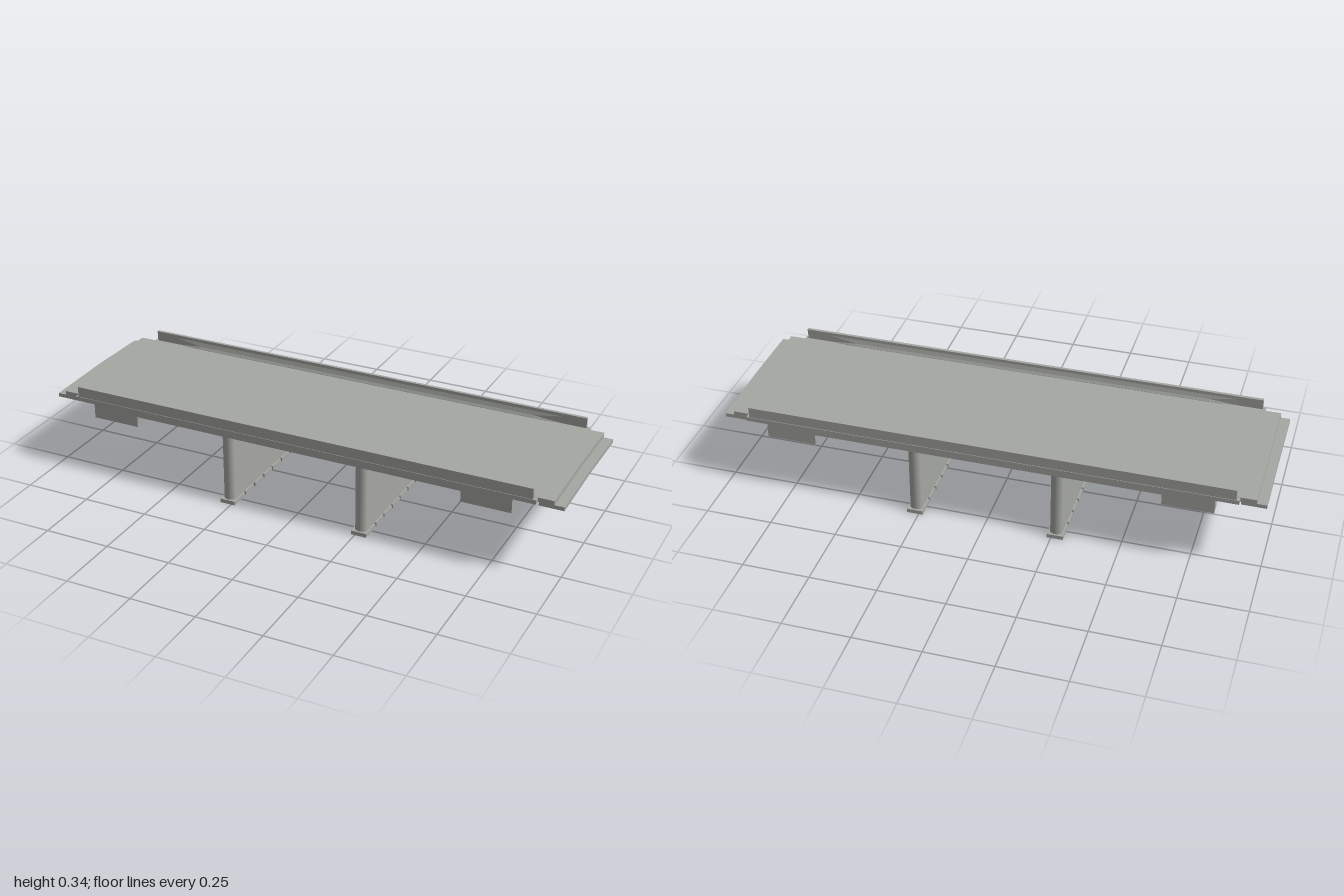
import * as THREE from 'three';

export function createModel() {
  const model = new THREE.Group();
  model.name = 'roadBridge';
  const concrete = new THREE.MeshStandardMaterial({ color: 0xa5a7a2 });
  concrete.name = 'concreteGrey';

  const add = (name, geometry) => {
    const mesh = new THREE.Mesh(geometry, concrete);
    mesh.name = name;
    model.add(mesh);
    return mesh;
  };

  // Box given by its limits
  const block = (name, x0, x1, y0, y1, z0, z1) =>
    add(name, new THREE.BoxGeometry(Math.abs(x1 - x0), y1 - y0, Math.abs(z1 - z0))
      .translate((x0 + x1) / 2, (y0 + y1) / 2, (z0 + z1) / 2));

  // Cross-section of [z, y] points extruded along x
  const prism = (points, x0, x1) => {
    const shape = new THREE.Shape(points.map(([z, y]) => new THREE.Vector2(-z, y)));
    return new THREE.ExtrudeGeometry(shape, { depth: x1 - x0, bevelEnabled: false })
      .rotateY(Math.PI / 2).translate(x0, 0, 0);
  };

  // Slab section whose top and bottom follow the road camber
  const cambered = (w, top, bottom) => [
    [-w, bottom - 0.006], [0, bottom], [w, bottom - 0.006],
    [w, top - 0.005], [0, top], [-w, top - 0.005],
  ];

  // Road deck and the deeper slab between the abutments
  add('roadDeck', prism(cambered(0.275, 0.306, 0.29), -0.965, 0.965));
  add('mainSlab', prism(
    [[-0.293, 0.271], [0.293, 0.271], [0.293, 0.284], [0, 0.29], [-0.293, 0.284]], -0.72, 0.72));

  // Edge beams, parapets and curbs on both sides
  for (const s of [1, -1]) {
    const side = (pts) => pts.map(([z, y]) => [s * z, y]);
    add('edgeBeam', prism(side([[0.272, 0.284], [0.295, 0.284], [0.295, 0.3], [0.272, 0.3]]), -0.907, 0.907));
    add('fascia', prism(side([[0.272, 0.271], [0.295, 0.271], [0.295, 0.284], [0.272, 0.284]]), -0.72, 0.72));
    add('parapet', prism(side([
      [0.283, 0.3], [0.283, 0.332], [0.281, 0.333], [0.281, 0.34], [0.293, 0.34], [0.293, 0.3],
    ]), -0.896, 0.896));

    // Sloped curb, tapering out at its ends
    const curb = prism(side([[0.283, 0.3], [0.283, 0.327], [0.279, 0.311], [0.274, 0.302], [0.274, 0.3]]), -0.8, 0.8);
    const p = curb.attributes.position;
    for (let i = 0; i < p.count; i++) {
      if (Math.abs(p.getZ(i)) < 0.2825) p.setX(i, p.getX(i) * 0.87);
    }
    curb.computeVertexNormals();
    add('curb', curb);
  }

  // Pier plan: a thin wall with rounded ends
  const t = 0.023, half = 0.295, nose = 0.018;
  const plan = new THREE.Shape();
  plan.moveTo(t, -(half - nose));
  plan.lineTo(t, half - nose);
  plan.absellipse(0, half - nose, t, nose, 0, Math.PI, false, 0);
  plan.lineTo(-t, -(half - nose));
  plan.absellipse(0, -(half - nose), t, nose, Math.PI, Math.PI * 2, false, 0);

  // Footing pads, mirrored in z
  const pads = [[0.004, 0.068], [0.077, 0.141], [0.15, 0.214], [0.223, 0.302]];

  for (const s of [1, -1]) {
    // Approach slab below the deck end
    const [a, b] = s > 0 ? [0.91, 1] : [-1, -0.91];
    add('approachSlab', prism(cambered(0.272, 0.289, 0.276), a, b));

    // U-shaped abutment, open towards the bridge end
    block('abutmentWall', s * 0.64, s * 0.715, 0.23, 0.284, -0.295, 0.295);
    for (const m of [1, -1]) {
      block('abutmentWing', s * 0.715, s * 0.825, 0.23, 0.285, m * 0.25, m * 0.295);
    }

    // Pier and its footing
    const pier = new THREE.ExtrudeGeometry(plan, { depth: 0.27, bevelEnabled: false, curveSegments: 16 });
    const n = pier.attributes.normal, q = pier.attributes.position;
    for (let i = 0; i < n.count; i++) {
      // Smooth normals around the rounded noses
      if (Math.abs(n.getZ(i)) > 0.5) continue;
      const dy = Math.max(0, Math.abs(q.getY(i)) - (half - nose)) * Math.sign(q.getY(i));
      const v = new THREE.Vector3(q.getX(i) / (t * t), dy / (nose * nose), 0).normalize();
      n.setXYZ(i, v.x, v.y, 0);
    }
    add('pier', pier.rotateX(-Math.PI / 2).translate(s * 0.265, 0.002, 0));
    for (const m of [1, -1]) {
      for (const [z0, z1] of pads) {
        block('footingPad', s * 0.265 - 0.03, s * 0.265 + 0.03, 0, 0.015, m * z0, m * z1);
      }
    }
  }
  return model;
}
